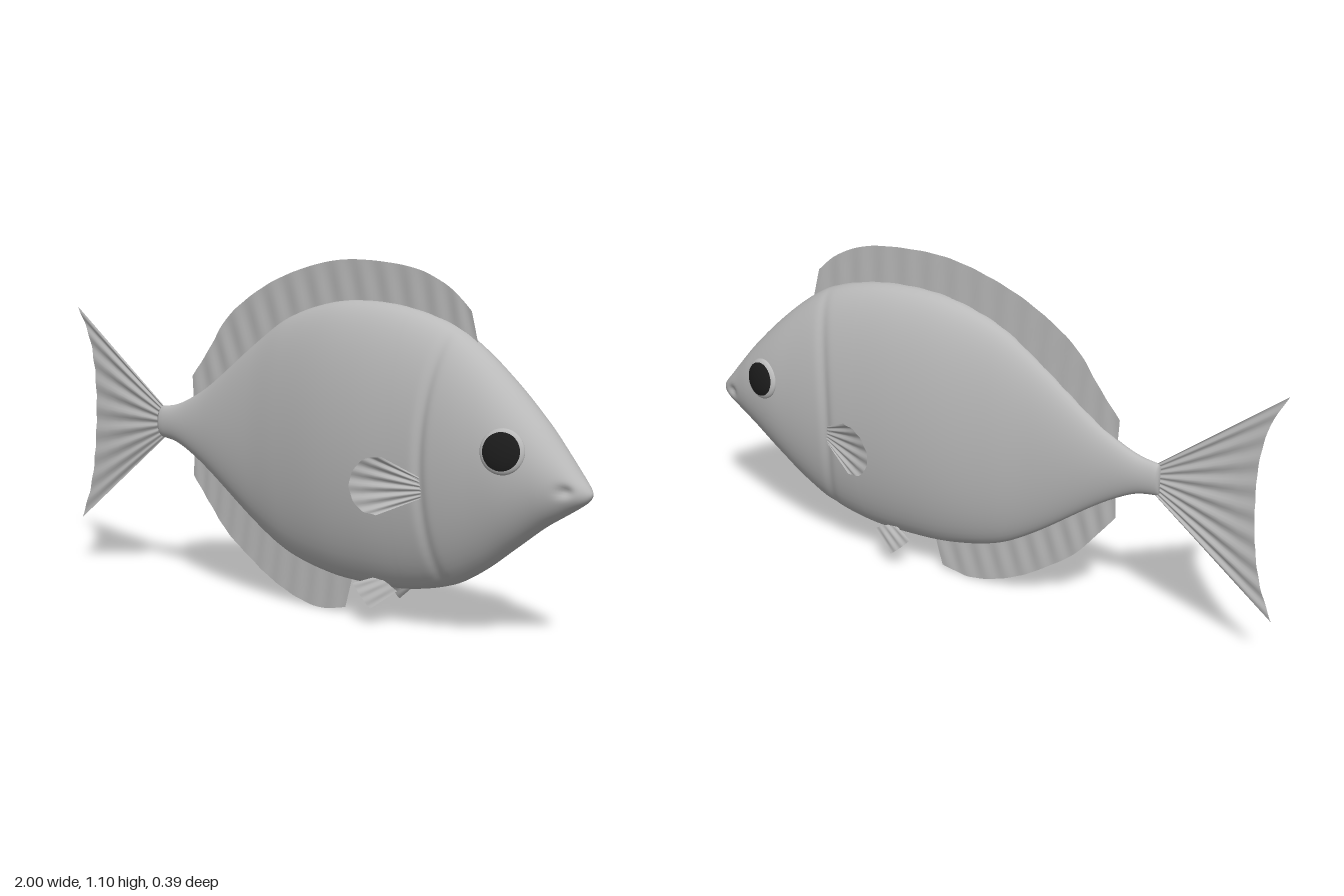
import * as THREE from 'three';

const skin = new THREE.MeshStandardMaterial({ color: 0xbababa });
skin.name = 'grey skin';
const finSkin = new THREE.MeshStandardMaterial({ color: 0xbababa, side: THREE.DoubleSide });
finSkin.name = 'grey fin';
const dark = new THREE.MeshStandardMaterial({ color: 0x1c1c1c });
dark.name = 'pupil black';

// Body stations: x, top, bottom, half width
const stations = [
  [-0.62, 0.588, 0.486, 0.023], [-0.55, 0.6, 0.474, 0.028], [-0.48, 0.63, 0.44, 0.034],
  [-0.4, 0.678, 0.388, 0.043], [-0.2, 0.832, 0.24, 0.07], [-0.07, 0.918, 0.166, 0.094],
  [0.1, 0.973, 0.122, 0.122], [0.25, 0.984, 0.112, 0.134], [0.4, 0.968, 0.117, 0.135],
  [0.55, 0.922, 0.153, 0.132], [0.65, 0.857, 0.208, 0.126], [0.75, 0.77, 0.285, 0.115],
  [0.85, 0.668, 0.363, 0.09], [0.92, 0.585, 0.408, 0.062], [0.965, 0.529, 0.437, 0.042],
  [0.99, 0.5, 0.456, 0.022], [1.0, 0.485, 0.47, 0.008],
];

// Smooth interpolation of one station column at x
function profile(x, col) {
  const last = stations.length - 1;
  let i = 0;
  while (i < last - 1 && x > stations[i + 1][0]) i++;
  const slope = (k) => {
    const a = stations[Math.max(k - 1, 0)], b = stations[Math.min(k + 1, last)];
    return (b[col] - a[col]) / (b[0] - a[0]);
  };
  const p = stations[i], q = stations[i + 1], h = q[0] - p[0], t = (x - p[0]) / h;
  const t2 = t * t, t3 = t2 * t;
  return (2 * t3 - 3 * t2 + 1) * p[col] + (t3 - 2 * t2 + t) * h * slope(i)
    + (3 * t2 - 2 * t3) * q[col] + (t3 - t2) * h * slope(i + 1);
}

const bump = (d, r) => Math.exp(-(d * d) / (r * r));

// Point on the body at x and angle a (0 = back, PI/2 = +z flank)
function bodyPoint(x, a, s = 1) {
  const top = profile(x, 1), bottom = profile(x, 2);
  const y = (top + bottom) / 2 + s * (top - bottom) / 2 * Math.cos(a);
  const side = Math.sin(a);
  // Gill groove, mouth corner
  const gill = 0.5 + 0.3 * (y - 0.52) ** 2;
  const dent = 1 - 0.06 * bump(x - gill, 0.018) - 0.25 * bump(x - 0.94, 0.022) * bump(y - 0.487, 0.016);
  return new THREE.Vector3(x, y, s * profile(x, 3) * side * dent);
}

function makeBody() {
  const around = 56, rings = [[-0.62, 0], [-0.62, 0.9]];
  for (let i = 0; i <= 60; i++) rings.push([-0.612 + i * (1.012 / 60), 1]);
  for (let i = 1; i <= 90; i++) rings.push([0.4 + i * (0.6 / 90), 1]);
  rings.push([1, 0]);
  const pos = [], index = [];
  rings.forEach(([x, s], i) => {
    for (let j = 0; j < around; j++) {
      pos.push(...bodyPoint(x, (j / around) * Math.PI * 2, s).toArray());
      if (i === rings.length - 1) continue;
      const a = i * around + j, b = i * around + (j + 1) % around;
      index.push(a, b, a + around, b, b + around, a + around);
    }
  });
  return surface(pos, index);
}

function surface(pos, index) {
  const g = new THREE.BufferGeometry();
  g.setAttribute('position', new THREE.Float32BufferAttribute(pos, 3));
  g.setIndex(index);
  g.computeVertexNormals();
  return g;
}

// Fin membrane ruled between a root curve and an outer curve, pleated by rays
function makeFin(name, root, tip, rays, ripple) {
  const curve = (pts) => new THREE.CatmullRomCurve3(pts.map(([x, y, z = 0]) => new THREE.Vector3(x, y, z)));
  const rootCurve = curve(root), tipCurve = curve(tip);
  const nu = Math.max(rays * 6, 24), nv = 6, pos = [], index = [];
  for (let i = 0; i <= nu; i++) {
    const u = i / nu, a = rootCurve.getPointAt(u), b = tipCurve.getPointAt(u);
    for (let j = 0; j <= nv; j++) {
      const v = j / nv, p = a.clone().lerp(b, v);
      p.z += ripple * Math.sin(u * rays * Math.PI * 2) * Math.sin(Math.PI * (0.1 + 0.75 * v));
      pos.push(p.x, p.y, p.z);
      if (i < nu && j < nv) {
        const k = i * (nv + 1) + j;
        index.push(k, k + nv + 1, k + 1, k + 1, k + nv + 1, k + nv + 2);
      }
    }
  }
  const mesh = new THREE.Mesh(surface(pos, index), finSkin);
  mesh.name = name;
  return mesh;
}

// Eye set into the flank, its axis along the body normal
function makeEye() {
  const eye = new THREE.Group();
  const x = 0.768, a = Math.acos((0.592 - (profile(x, 1) + profile(x, 2)) / 2) / ((profile(x, 1) - profile(x, 2)) / 2));
  const p = bodyPoint(x, a), e = 0.02;
  const dx = bodyPoint(x + e, a).sub(bodyPoint(x - e, a));
  const da = bodyPoint(x, a + e).sub(bodyPoint(x, a - e));
  const normal = da.cross(dx).normalize();
  eye.position.copy(p).addScaledVector(normal, -0.004);
  eye.quaternion.setFromUnitVectors(new THREE.Vector3(0, 0, 1), normal);
  const ball = new THREE.Mesh(new THREE.SphereGeometry(1, 32, 20).rotateX(Math.PI / 2).scale(0.067, 0.067, 0.02), skin);
  ball.name = 'eyeball';
  const pupil = new THREE.Mesh(
    new THREE.SphereGeometry(1, 32, 10, 0, Math.PI * 2, 0, 0.96).rotateX(Math.PI / 2).scale(0.068, 0.068, 0.022), dark);
  pupil.name = 'pupil';
  eye.add(ball, pupil);
  eye.name = 'eye';
  return eye;
}

export function createModel() {
  const fish = new THREE.Group();
  fish.name = 'fish';
  const body = new THREE.Mesh(makeBody(), skin);
  body.name = 'body';
  fish.add(body);

  // Fins on the centre line
  fish.add(makeFin('dorsalFin',
    [[-0.475, 0.61], [-0.35, 0.68], [-0.2, 0.8], [0, 0.91], [0.25, 0.95], [0.45, 0.92], [0.622, 0.865]],
    [[-0.48, 0.7], [-0.41, 0.79], [-0.33, 0.9], [-0.2, 0.995], [-0.07, 1.055], [0.1, 1.1], [0.25, 1.105],
      [0.42, 1.082], [0.53, 1.03], [0.595, 0.972]], 14, 0.0025));
  fish.add(makeFin('analFin',
    [[-0.475, 0.46], [-0.35, 0.38], [-0.2, 0.27], [-0.05, 0.19], [0.08, 0.15], [0.175, 0.13]],
    [[-0.478, 0.368], [-0.42, 0.295], [-0.34, 0.2], [-0.25, 0.13], [-0.15, 0.065], [-0.04, 0.018],
      [0.05, 0.002], [0.145, 0.018]], 10, 0.0025));
  fish.add(makeFin('tailFin',
    [[-0.6, 0.583], [-0.6, 0.535], [-0.6, 0.487]],
    [[-1, 0.9], [-0.95, 0.8], [-0.925, 0.68], [-0.922, 0.54], [-0.932, 0.4], [-0.955, 0.28], [-1, 0.16]], 9, 0.004));

  // Paired parts, mirrored across the body
  for (const side of [1, -1]) {
    const pair = new THREE.Group();
    pair.name = side > 0 ? 'frontFlankParts' : 'backFlankParts';
    pair.add(makeEye());
    pair.add(makeFin('pectoralFin',
      [[0.51, 0.485, 0.118], [0.512, 0.457, 0.12], [0.51, 0.43, 0.118]],
      [[0.4, 0.548, 0.176], [0.345, 0.535, 0.188], [0.305, 0.485, 0.194], [0.302, 0.435, 0.195],
        [0.335, 0.385, 0.189], [0.385, 0.372, 0.178]], 6, 0.004));
    pair.add(makeFin('pelvicFin',
      [[0.3, 0.15, 0.046], [0.34, 0.135, 0.05], [0.375, 0.115, 0.05]],
      [[0.225, 0.122, 0.072], [0.258, 0.088, 0.077], [0.296, 0.054, 0.08]], 3, 0.002));
    pair.scale.z = side;
    fish.add(pair);
  }
  return fish;
}
